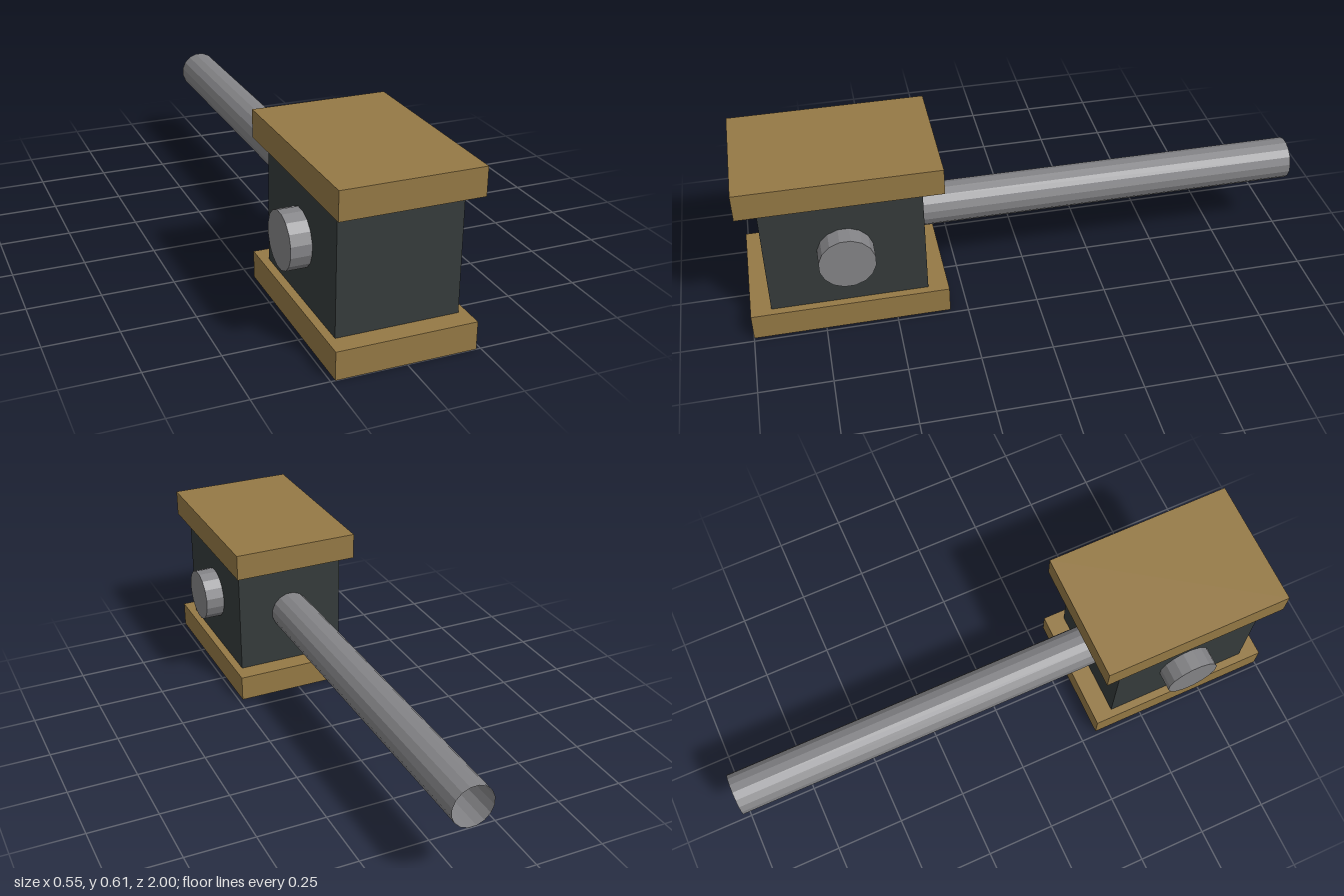
import * as THREE from 'three';

export function createModel() {
  const model = new THREE.Group();
  const brass = new THREE.MeshStandardMaterial({ color: 0x957945, flatShading: true });
  brass.name = 'brass';
  const darkIron = new THREE.MeshStandardMaterial({ color: 0x353b3b, flatShading: true });
  darkIron.name = 'darkIron';
  const steel = new THREE.MeshStandardMaterial({ color: 0x848487, flatShading: true, side: THREE.DoubleSide });
  steel.name = 'steel';

  function add(name, geometry, material, x, y, z) {
    const mesh = new THREE.Mesh(geometry, material);
    mesh.name = name;
    mesh.position.set(x, y, z);
    model.add(mesh);
  }

  const SIDES = 16;
  const midY = 0.304, midZ = 0.656;

  // Central block between two overhanging plates
  add('block', new THREE.BoxGeometry(0.413, 0.416, 0.546), darkIron, 0, midY, midZ);
  for (const [name, side] of [['bottomPlate', -1], ['topPlate', 1]]) {
    add(name, new THREE.BoxGeometry(0.47, 0.096, 0.688), brass, 0, midY + side * 0.256, midZ);
  }

  // Cross pin through the block, with flats facing forward and back
  const pin = new THREE.CylinderGeometry(0.097, 0.097, 0.553, SIDES);
  pin.rotateY(Math.PI / SIDES).rotateZ(Math.PI / 2);
  add('crossPin', pin, steel, 0, midY + 0.001, midZ);

  // Hollow rod running backward, open at the ends
  const rod = new THREE.CylinderGeometry(0.075, 0.075, 1.42, SIDES, 1, true);
  rod.rotateY(Math.PI / SIDES).rotateX(Math.PI / 2);
  add('rod', rod, steel, 0, midY + 0.001, -0.29);

  return model;
}
